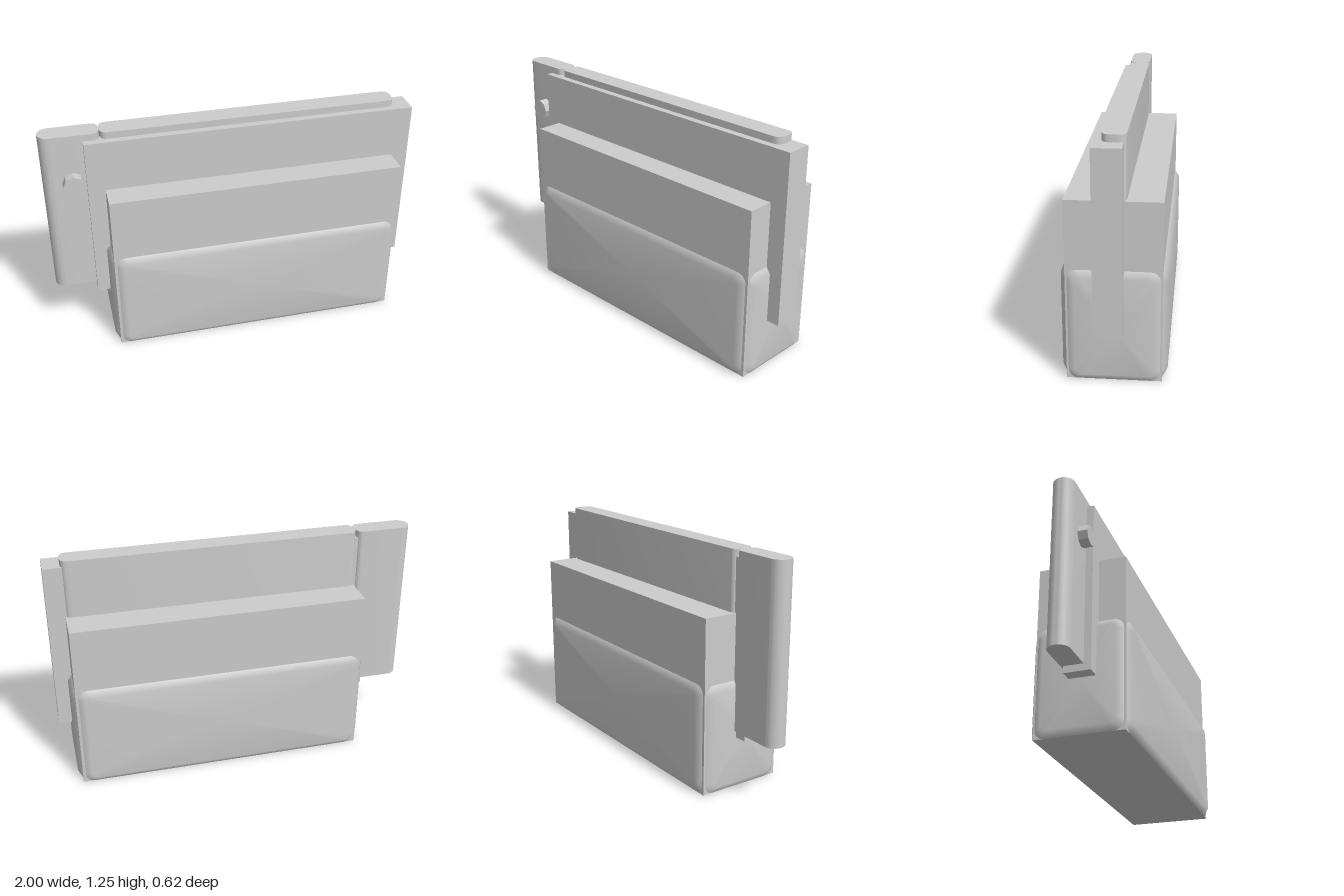
import * as THREE from 'three';
import { toCreasedNormals } from 'three/addons/utils/BufferGeometryUtils.js';

const grey = new THREE.MeshStandardMaterial({ color: 0xcccccc });
grey.name = 'light grey';

function part(name, geometry, x = 0, y = 0, z = 0) {
  const mesh = new THREE.Mesh(geometry, grey);
  mesh.name = name;
  mesh.position.set(x, y, z);
  return mesh;
}

// Rounded rectangle outline, counter-clockwise, centred on the origin
function roundedRing(w, h, r, steps = 6) {
  const pts = [];
  [[1, 1], [-1, 1], [-1, -1], [1, -1]].forEach(([sx, sy], c) => {
    for (let i = 0; i <= steps; i++) {
      const a = (c + i / steps) * Math.PI / 2;
      pts.push([sx * (w / 2 - r) + r * Math.cos(a), sy * (h / 2 - r) + r * Math.sin(a)]);
    }
  });
  return pts;
}

// Shallow pillow: a wide base ring, an inset raised ring and a closed face
function padGeometry(w, h, rise) {
  const inset = 0.035;
  const base = roundedRing(w, h, 0.05);
  const face = roundedRing(w - 2 * inset, h - 2 * inset, 0.03);
  const n = base.length, pos = [], idx = [];
  base.forEach(([x, y]) => pos.push(x, y, 0));
  face.forEach(([x, y]) => pos.push(x, y, rise));
  pos.push(0, 0, rise);
  for (let i = 0; i < n; i++) {
    const j = (i + 1) % n;
    idx.push(i, j, n + j, i, n + j, n + i, n + i, n + j, 2 * n);
  }
  const g = new THREE.BufferGeometry();
  g.setAttribute('position', new THREE.Float32BufferAttribute(pos, 3));
  g.setIndex(idx);
  g.computeVertexNormals();
  return g;
}

// Plan of the slab and its grip, pinched to a thin neck between them
function slabGeometry(height) {
  const t = 0.058, neck = -0.797, end = 0.797, r = 0.045, k = 0.035;
  const s = new THREE.Shape();
  s.moveTo(-1.052, -t);
  s.lineTo(neck - k, -t);
  s.quadraticCurveTo(neck - 0.006, -t, neck, -0.014);
  s.quadraticCurveTo(neck + 0.006, -t, neck + k, -t);
  s.lineTo(end - r, -t);
  s.quadraticCurveTo(end, -t, end, -t + r);
  s.lineTo(end, t - r);
  s.quadraticCurveTo(end, t, end - r, t);
  s.lineTo(neck + k, t);
  s.quadraticCurveTo(neck + 0.006, t, neck, 0.014);
  s.quadraticCurveTo(neck - 0.006, t, neck - k, t);
  s.lineTo(-1.052, t);
  s.absarc(-1.052, 0, t, Math.PI / 2, Math.PI * 1.5, false);
  const g = new THREE.ExtrudeGeometry(s, { depth: height, bevelEnabled: false, curveSegments: 10 });
  g.rotateX(-Math.PI / 2);
  return toCreasedNormals(g, 0.6);
}

export function createModel() {
  const model = new THREE.Group();
  model.name = 'model';

  // Everything sits at a slight turn
  const assembly = new THREE.Group();
  assembly.name = 'assembly';
  assembly.position.x = 0.107;
  assembly.rotation.y = -0.068;
  model.add(assembly);

  const hl = 0.795, hd = 0.2345, padH = 0.585;

  assembly.add(part('housing', new THREE.BoxGeometry(2 * hl, 0.935, 2 * hd), 0, 0.4675, 0));

  // Pads around the lower half of the housing
  const longPad = padGeometry(2 * hl - 0.03, padH, 0.025);
  const endPad = padGeometry(2 * hd - 0.02, padH, 0.022);
  for (let i = 0; i < 4; i++) {
    const isEnd = i % 2 === 1, angle = i * Math.PI / 2, d = isEnd ? hl : hd;
    const pad = part(['frontPad', 'leftPad', 'backPad', 'rightPad'][i], isEnd ? endPad : longPad,
      Math.sin(angle) * d, padH / 2, Math.cos(angle) * d);
    pad.rotation.y = angle;
    assembly.add(pad);
  }

  // Plate running lengthwise through the housing
  assembly.add(part('plate', new THREE.BoxGeometry(1.774, 0.93, 0.141), 0.001, 0.75, 0.0215));

  // Slab with grip, just behind the plate
  assembly.add(part('slabWithGrip', slabGeometry(0.93), 0, 0.322, -0.004));

  // Button on the front of the grip
  const button = new THREE.CylinderGeometry(0.056, 0.056, 0.06, 8);
  button.rotateX(Math.PI / 2);
  assembly.add(part('button', toCreasedNormals(button, 0.5), -0.954, 0.985, 0.076));

  return model;
}
